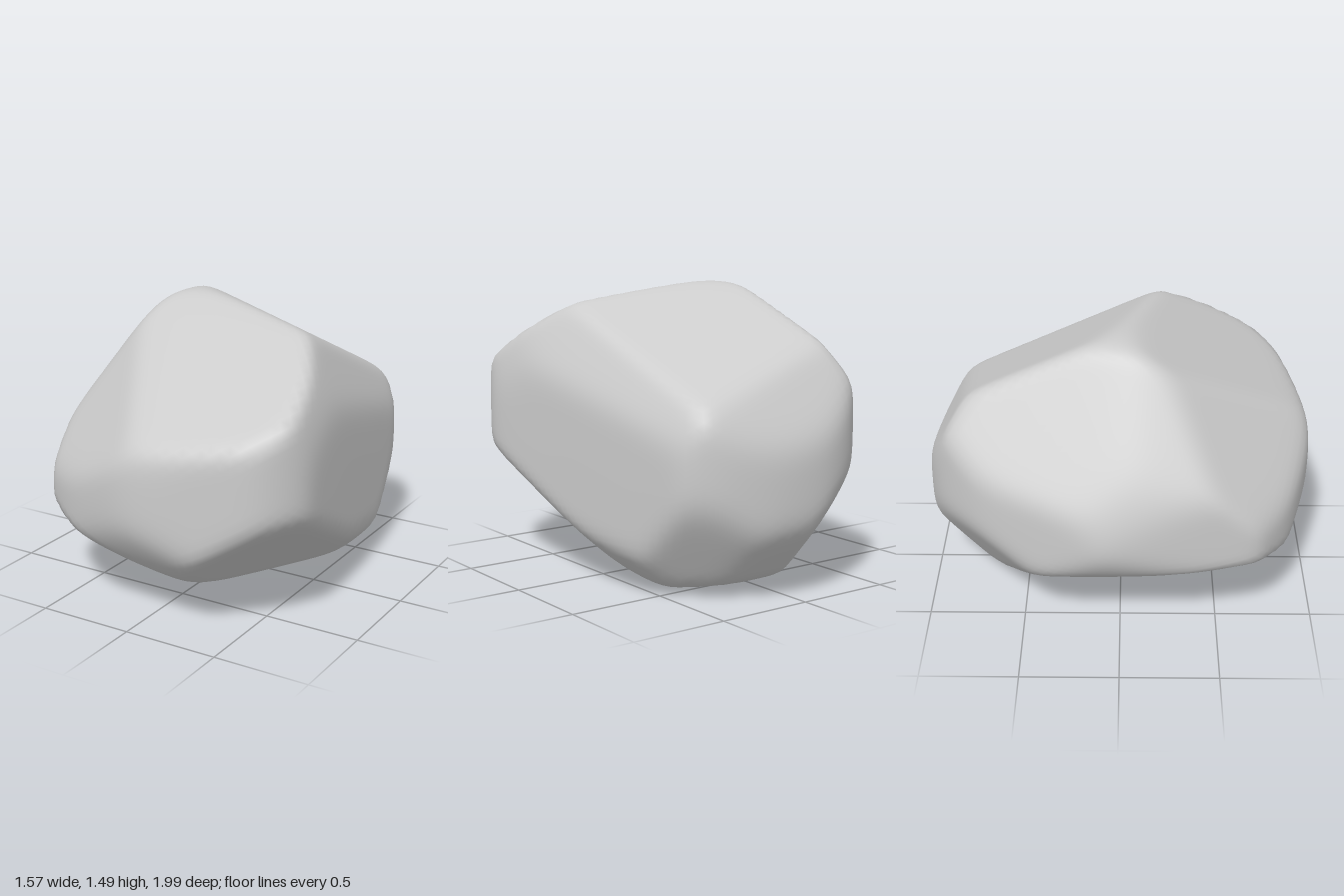
import * as THREE from 'three';
import { mergeVertices } from 'three/addons/utils/BufferGeometryUtils.js';

// The worn faces of the boulder, each as [heading, pitch, distance]:
// heading in degrees from the front towards +x, pitch above level,
// and distance of the face from the boulder's core.
const crown = [[90, 85.5, 0.768], [-90, 78.7, 0.805], [0, 58.8, 0.69], [146, 61.6, 0.661]];
const back = [
  [180, 0, 1.005], [174, 30.6, 0.88], [180, -41, 1.0], [162.5, 0, 1.01], [137, 0, 0.985],
  [-158, 0, 0.995], [-132.5, 0, 0.9], [137, -31, 0.965], [-135, -33, 0.845],
];
const underside = [[180, -82, 0.76], [-66, -68, 0.582], [59, -72, 0.724], [-90, -56, 0.668]];
const leftSide = [
  [98, 0, 0.699], [105.6, 26, 0.732], [90, -43.5, 0.825],
  [62.5, -48.6, 0.738], [90, 51.3, 0.88], [90, 16.4, 0.82],
];
const front = [
  [0, 1.7, 1.01], [14.5, 0, 1.0], [-18.6, 0, 0.965], [45, 0, 1.055], [70, 0, 0.955],
  [-37, 0, 0.963], [0, 30, 0.95], [-5, -32, 0.955], [-3, -48.5, 0.895], [-9, -64, 0.785],
];
const rightSide = [
  [-104, 33.6, 0.685], [-83, 34, 0.715], [-38, 36, 0.738], [-90, 19.3, 0.74],
  [-80.7, 0, 0.783], [-111, 0, 0.79], [-90, -30.5, 0.78],
];
const CORE_HEIGHT = 0.72;
const SHARPNESS = 40; // higher gives crisper edges between faces

// Turns a [heading, pitch, distance] entry into a plane around the core
function toPlane([heading, pitch, distance]) {
  const normal = new THREE.Vector3().setFromSphericalCoords(
    1,
    THREE.MathUtils.degToRad(90 - pitch),
    THREE.MathUtils.degToRad(heading),
  );
  return { normal, distance };
}

function boulderGeometry() {
  const planes = [crown, back, underside, leftSide, front, rightSide].flat().map(toPlane);

  const sphere = new THREE.IcosahedronGeometry(1, 24);
  sphere.deleteAttribute('uv');
  sphere.deleteAttribute('normal');
  const geometry = mergeVertices(sphere, 1e-4);

  // Push every sphere point out to the rounded intersection of the faces
  const position = geometry.attributes.position;
  const dir = new THREE.Vector3();
  for (let i = 0; i < position.count; i++) {
    dir.fromBufferAttribute(position, i).normalize();
    let sum = 0;
    for (const { normal, distance } of planes) {
      sum += Math.max(0, normal.dot(dir) / distance) ** SHARPNESS;
    }
    dir.multiplyScalar(sum ** (-1 / SHARPNESS));
    position.setXYZ(i, dir.x, dir.y + CORE_HEIGHT, dir.z);
  }
  geometry.computeVertexNormals();
  return geometry;
}

export function createModel() {
  const group = new THREE.Group();
  group.name = 'rock';
  const boulder = new THREE.Mesh(
    boulderGeometry(),
    new THREE.MeshStandardMaterial({ color: 0xcccccc }),
  );
  boulder.name = 'boulder';
  group.add(boulder);
  return group;
}
